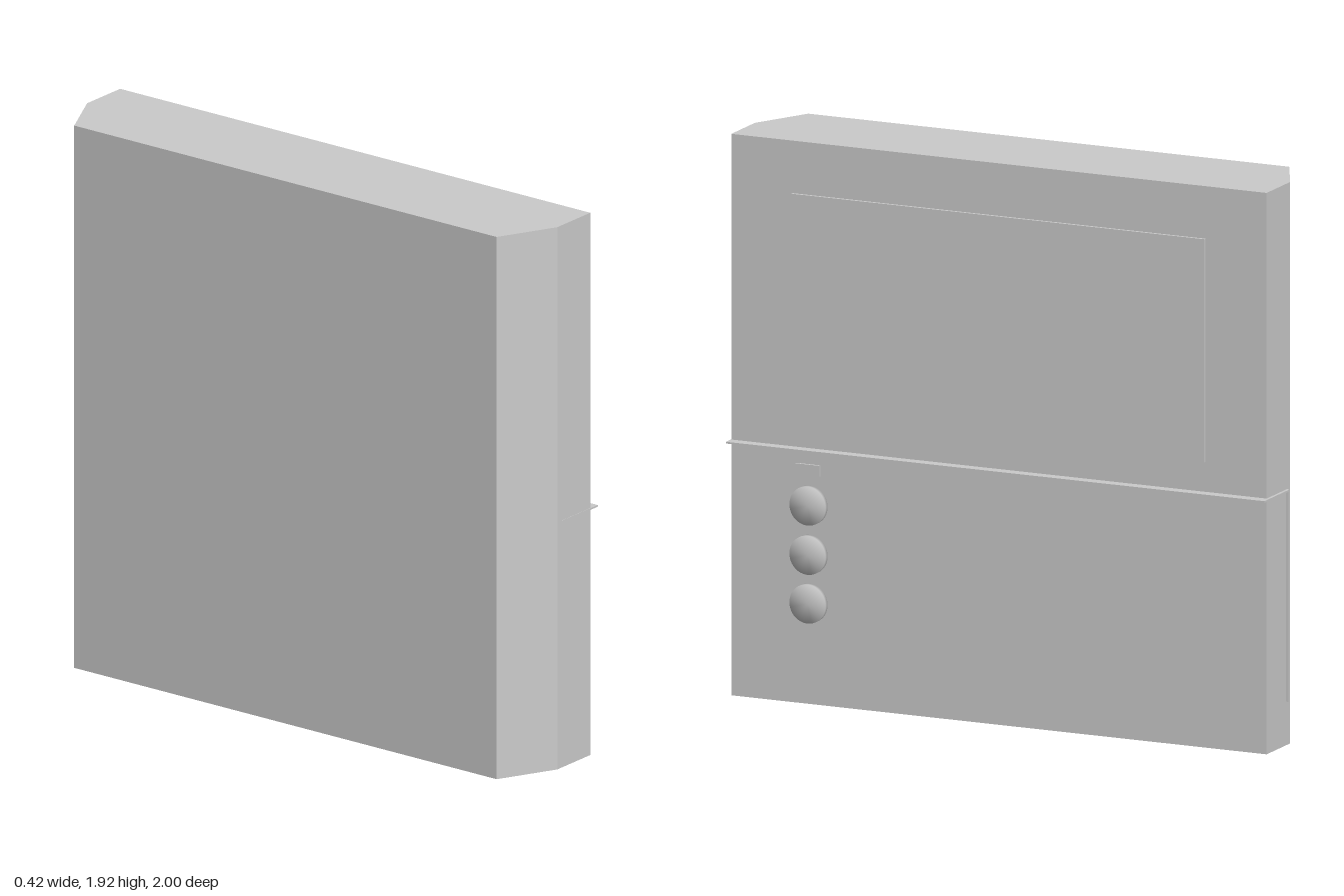
import * as THREE from 'three';
import { mergeVertices } from 'three/addons/utils/BufferGeometryUtils.js';

const FRONT = 0.17; // x of the control face

export function createModel() {
  const group = new THREE.Group();
  const material = new THREE.MeshStandardMaterial({ color: 0xcccccc });

  const add = (name, geometry) => {
    const mesh = new THREE.Mesh(geometry, material);
    mesh.name = name;
    group.add(mesh);
    return mesh;
  };
  // Box given by its limits on each axis
  const addBox = (name, x0, x1, y0, y1, z0, z1) =>
    add(name, new THREE.BoxGeometry(x1 - x0, y1 - y0, z1 - z0))
      .position.set((x0 + x1) / 2, (y0 + y1) / 2, (z0 + z1) / 2);

  // Cabinet: plan outline with chamfered rear corners, extruded upward
  const plan = new THREE.Shape([
    [FRONT, -0.994], [FRONT, 0.994], [-0.01, 0.994],
    [-0.21, 0.893], [-0.21, -0.893], [-0.01, -0.994],
  ].map(([x, z]) => new THREE.Vector2(x, z)));
  const cabinet = new THREE.ExtrudeGeometry(plan, { depth: 1.925, bevelEnabled: false });
  cabinet.rotateX(-Math.PI / 2);
  add('cabinet', cabinet).position.z = 0.004;

  // Raised panel on the upper half
  addBox('panel', FRONT - 0.01, 0.18, 0.98, 1.745, -0.763, 0.77);

  // Thin ledge across the face, wrapping round both ends and turning down
  addBox('ledge', FRONT - 0.01, 0.208, 0.871, 0.877, -1, 1);
  for (const side of [-1, 1]) {
    const end = side < 0 ? 'rear' : 'front';
    const zs = side < 0 ? [-1, -0.98] : [0.98, 0.9995];
    addBox(end + 'SideTrim', 0.015, FRONT, 0.871, 0.877, ...zs);
    const zv = side < 0 ? zs : [0.98, 0.9975];
    addBox(end + 'DownTrim', 0.015, 0.023, 0.15, 0.877, ...zv);
  }

  // Small indicator above the knobs
  addBox('indicator', FRONT - 0.01, 0.178, 0.785, 0.822, 0.667, 0.755);

  // Three knobs with normals blended softly over the rim
  let knob = new THREE.CylinderGeometry(0.067, 0.067, 0.027, 48);
  knob.rotateZ(-Math.PI / 2);
  knob.deleteAttribute('normal');
  knob.deleteAttribute('uv');
  knob = mergeVertices(knob);
  knob.computeVertexNormals();
  [0.682, 0.513, 0.346].forEach((y, i) => {
    add('knob' + (i + 1), knob).position.set(0.1735, y, 0.707);
  });

  return group;
}
